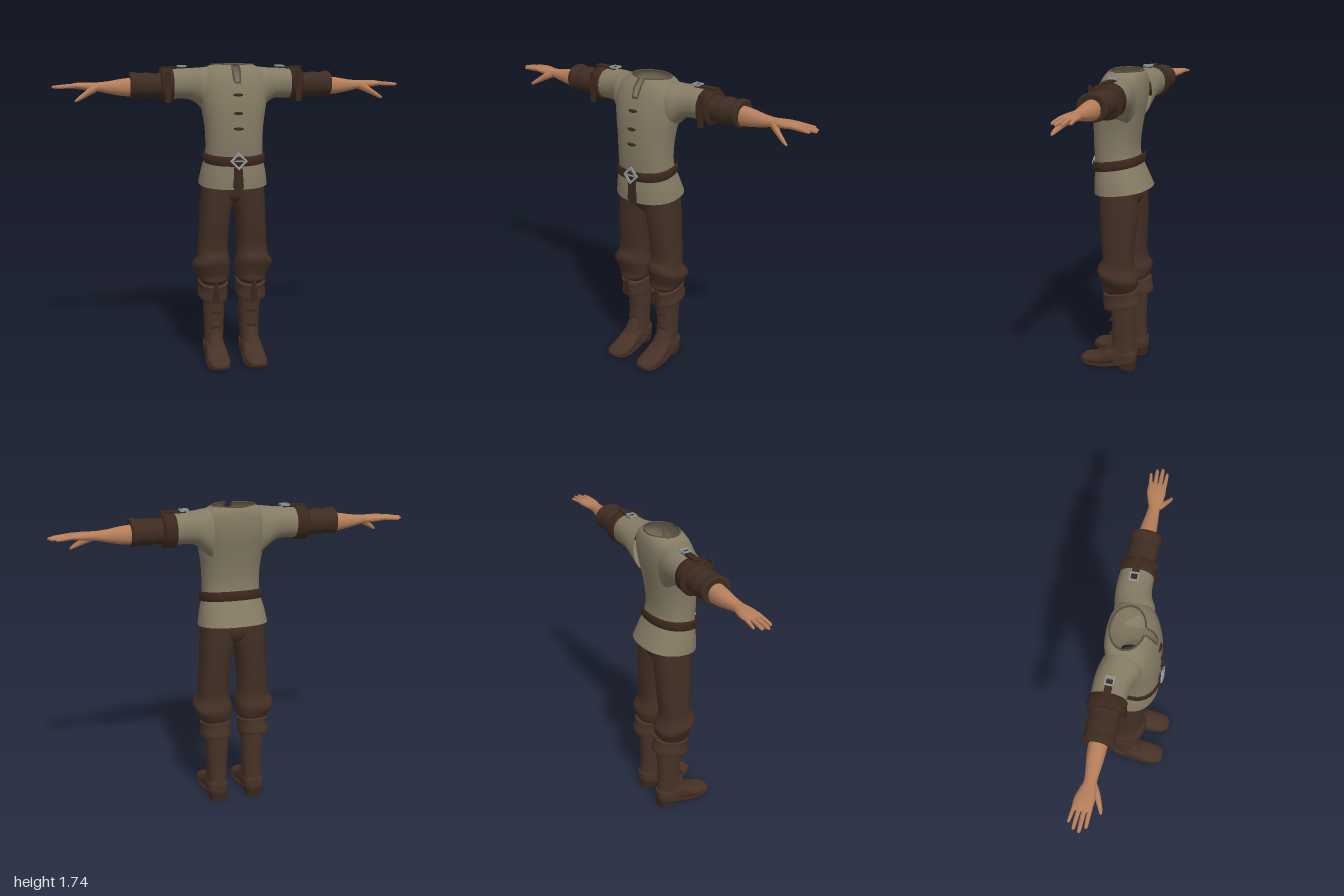
import * as THREE from 'three';
import { toCreasedNormals } from 'three/addons/utils/BufferGeometryUtils.js';

const mat = (name, color, side = THREE.FrontSide) => {
  const m = new THREE.MeshStandardMaterial({ color, side });
  m.name = name;
  return m;
};

// Catmull-Rom blend of neighbouring cross-sections
function refine(rows, steps) {
  const out = [], at = i => rows[Math.min(rows.length - 1, Math.max(0, i))];
  for (let i = 0; i < rows.length - 1; i++)
    for (let k = 0; k < steps; k++) {
      const t = k / steps, [a, b, c, d] = [at(i - 1), at(i), at(i + 1), at(i + 2)];
      out.push(b.map((p, n) => {
        const quad = 2 * a[n] - 5 * p + 4 * c[n] - d[n];
        const cubic = 3 * (p - c[n]) + d[n] - a[n];
        return p + 0.5 * t * (c[n] - a[n] + t * (quad + t * cubic));
      }));
    }
  out.push(at(rows.length - 1));
  return out;
}

// Skin over superellipse sections [s, u0, u1, v0, v1, tilt], s ascending along the axis.
// (u, v) is (x, z) for axis y, (z, y) for axis x and (y, x) for axis z.
const PLACE = { y: (s, u, v) => [u, s, v], x: (s, u, v) => [s, v, u], z: (s, u, v) => [v, u, s] };
function loft(axis, rows, { seg = 28, steps = 3, n = 2.2, cap = true, skip = null } = {}) {
  const rings = refine(rows.map(r => (r.length < 6 ? [...r, 0] : r)), steps), pos = [], idx = [];
  const pw = c => Math.sign(c) * Math.abs(c) ** (2 / n);
  for (const [s, u0, u1, v0, v1, tilt] of rings)
    for (let j = 0; j < seg; j++) {
      const a = j / seg * Math.PI * 2;
      const u = (u0 + u1) / 2 + (u1 - u0) / 2 * pw(Math.cos(a));
      const v = (v0 + v1) / 2 + (v1 - v0) / 2 * pw(Math.sin(a));
      pos.push(...PLACE[axis](s + tilt * v, u, v));
    }
  const last = rings.length - 1;
  for (let i = 0; i < last; i++)
    for (let j = 0; j < seg; j++) {
      const a = i * seg + j, b = i * seg + (j + 1) % seg, c = b + seg, d = a + seg;
      const mid = [0, 1, 2].map(k => (pos[a * 3 + k] + pos[b * 3 + k] + pos[c * 3 + k] + pos[d * 3 + k]) / 4);
      if (!skip || !skip(...mid)) idx.push(a, d, b, b, d, c);
    }
  if (cap) for (const i of [0, last]) {
    const [s, u0, u1, v0, v1, tilt] = rings[i], v = (v0 + v1) / 2, centre = pos.length / 3;
    pos.push(...PLACE[axis](s + tilt * v, (u0 + u1) / 2, v));
    for (let j = 0; j < seg; j++) {
      const a = i * seg + j, b = i * seg + (j + 1) % seg;
      idx.push(centre, ...(i ? [b, a] : [a, b]));
    }
  }
  const g = new THREE.BufferGeometry();
  g.setAttribute('position', new THREE.Float32BufferAttribute(pos, 3));
  g.setIndex(idx);
  return toCreasedNormals(g, 0.95);
}

const tube = (pts, r) => new THREE.TubeGeometry(
  new THREE.CatmullRomCurve3(pts.map(p => new THREE.Vector3(...p))), pts.length * 4, r, 6);

export function createModel() {
  const shirt = mat('shirtCloth', 0x857b64, THREE.DoubleSide);
  const trim = mat('shirtTrim', 0x595140);
  const trousers = mat('trouserCloth', 0x412e23);
  const sleeve = mat('sleeveCloth', 0x3d2c21);
  const boot = mat('bootLeather', 0x473226);
  const belt = mat('beltLeather', 0x3b271d);
  const skin = mat('skin', 0xb57e59);
  const steel = mat('steel', 0x8d989c);

  const model = new THREE.Group();
  model.name = 'clothedFigure';
  const add = (parent, name, geo, m, x = 0, y = 0, z = 0, rx = 0) => {
    const mesh = new THREE.Mesh(geo, m);
    mesh.name = name;
    mesh.position.set(x, y, z);
    mesh.rotation.x = rx;
    parent.add(mesh);
  };
  const box = (w, h, d) => new THREE.BoxGeometry(w, h, d);

  // Tunic body, slit at the collar and below the belt
  add(model, 'tunicBody', loft('y', [
    [1.06, -0.197, 0.197, -0.19, 0.13, -0.12], [1.14, -0.184, 0.184, -0.152, 0.13, -0.16],
    [1.22, -0.165, 0.165, -0.118, 0.125, -0.19], [1.30, -0.162, 0.162, -0.11, 0.132, -0.08],
    [1.40, -0.167, 0.167, -0.118, 0.134, 0], [1.50, -0.183, 0.183, -0.135, 0.13, 0],
    [1.57, -0.193, 0.193, -0.148, 0.12, 0], [1.63, -0.197, 0.197, -0.152, 0.105, 0],
    [1.68, -0.183, 0.183, -0.15, 0.085, 0], [1.715, -0.15, 0.15, -0.142, 0.062, 0],
    [1.732, -0.118, 0.118, -0.13, 0.045, 0],
  ], { seg: 64, n: 2.3, cap: false, skip: (x, y, z) => Math.abs(x) < 0.017 && z > 0 && (y > 1.645 || y < 1.17) }), shirt);

  // Collar piping, open at the front
  const collar = [];
  for (let i = 0; i <= 24; i++) {
    const a = Math.PI / 2 + 0.17 + i / 24 * (Math.PI * 2 - 0.34);
    collar.push([0.118 * Math.cos(a), 1.732, -0.0425 + 0.0875 * Math.sin(a)]);
  }
  add(model, 'collarPiping', tube(collar, 0.005), trim);
  for (const s of [-1, 1])
    add(model, 'collarSlitEdge', tube([[s * 0.019, 1.732, 0.045], [s * 0.02, 1.69, 0.082], [s * 0.015, 1.64, 0.104]], 0.005), trim);
  add(model, 'collarSlitEnd', box(0.035, 0.01, 0.01), trim, 0, 1.638, 0.104);

  // Front toggles
  for (const [y, z] of [[1.57, 0.122], [1.47, 0.133], [1.385, 0.136]]) {
    add(model, 'toggleLoop', box(0.05, 0.01, 0.01), belt, 0, y, z);
    add(model, 'togglePeg', loft('x', [[-0.014, z - 0.004, z + 0.012, y - 0.009, y + 0.009],
      [0.014, z - 0.004, z + 0.012, y - 0.009, y + 0.009]], { seg: 10, steps: 1 }), belt);
  }

  // Belt, hanging tail and diamond buckle
  add(model, 'belt', loft('y', [[1.198, -0.175, 0.175, -0.137, 0.137, -0.16], [1.205, -0.179, 0.179, -0.141, 0.141, -0.16],
    [1.245, -0.177, 0.177, -0.139, 0.141, -0.16], [1.252, -0.172, 0.172, -0.133, 0.136, -0.16]],
  { seg: 48, steps: 1, n: 2.3, cap: false }), belt);
  const tail = new THREE.Shape([[-0.019, 0.09], [0.019, 0.09], [0.03, -0.05], [0, -0.08], [-0.03, -0.05]].map(p => new THREE.Vector2(...p)));
  add(model, 'beltTail', new THREE.ExtrudeGeometry(tail, { depth: 0.009, bevelEnabled: false }), belt, 0, 1.11, 0.13, 0.02);
  const diamond = r => [[r, 0], [0, r], [-r, 0], [0, -r]].map(p => new THREE.Vector2(...p));
  const frame = new THREE.Shape(diamond(0.05));
  frame.holes.push(new THREE.Path(diamond(0.034)));
  add(model, 'beltBuckle', new THREE.ExtrudeGeometry(frame, { depth: 0.009, bevelEnabled: false }), steel, 0, 1.207, 0.141, -0.08);
  add(model, 'bucklePin', box(0.055, 0.007, 0.006), steel, 0, 1.207, 0.147);

  // Seat of the trousers
  add(model, 'trouserSeat', loft('y', [[0.955, -0.05, 0.05, -0.08, 0.03], [0.99, -0.12, 0.12, -0.12, 0.062],
    [1.05, -0.17, 0.17, -0.135, 0.072], [1.16, -0.155, 0.155, -0.11, 0.085]], { n: 2.5 }), trousers);

  for (const [side, s] of [['left', 1], ['right', -1]]) {
    const arm = new THREE.Group(), leg = new THREE.Group();
    arm.name = side + 'Arm';
    leg.name = side + 'Leg';
    arm.scale.x = leg.scale.x = s;
    model.add(arm, leg);

    // Short tunic sleeve, then rolled dark sleeve
    add(arm, 'tunicSleeve', loft('x', [[0.135, -0.143, 0.06, 1.45, 1.722], [0.18, -0.151, 0.06, 1.495, 1.717],
      [0.22, -0.155, 0.038, 1.53, 1.714], [0.27, -0.157, 0.024, 1.543, 1.712], [0.37, -0.155, 0.02, 1.54, 1.705]], { cap: false }), shirt);
    add(arm, 'sleeveBand', loft('x', [[0.335, -0.156, 0.02, 1.538, 1.706], [0.342, -0.164, 0.03, 1.53, 1.713],
      [0.37, -0.164, 0.027, 1.53, 1.713], [0.398, -0.166, 0.03, 1.526, 1.712], [0.408, -0.15, 0.015, 1.545, 1.7]], { steps: 1 }), belt);
    add(arm, 'rolledSleeve', loft('x', [[0.39, -0.145, 0.01, 1.548, 1.692], [0.43, -0.142, 0.008, 1.553, 1.684],
      [0.48, -0.146, 0.013, 1.548, 1.69], [0.52, -0.142, 0.01, 1.554, 1.686], [0.56, -0.15, 0.016, 1.547, 1.694],
      [0.576, -0.144, 0.01, 1.552, 1.688], [0.572, -0.115, -0.02, 1.57, 1.665]]), sleeve);
    add(arm, 'shoulderStrap', box(0.135, 0.012, 0.036), belt, 0.342, 1.716, -0.07);
    add(arm, 'hangingTab', box(0.032, 0.17, 0.01), belt, 0.372, 1.612, 0.024);
    for (const d of [-1, 1]) {
      add(arm, 'strapBuckleBar', box(0.008, 0.01, 0.044), steel, 0.283 + d * 0.02, 1.723, -0.07);
      add(arm, 'strapBuckleEnd', box(0.048, 0.01, 0.007), steel, 0.283, 1.723, -0.07 + d * 0.02);
    }

    // Bare forearm and hand
    add(arm, 'forearmAndPalm', loft('x', [[0.54, -0.115, -0.018, 1.556, 1.664], [0.62, -0.11, -0.022, 1.562, 1.656],
      [0.69, -0.1, -0.027, 1.575, 1.644], [0.75, -0.093, -0.031, 1.588, 1.638], [0.79, -0.104, -0.024, 1.593, 1.638],
      [0.84, -0.118, -0.02, 1.599, 1.638], [0.88, -0.119, -0.024, 1.605, 1.634], [0.9, -0.11, -0.035, 1.611, 1.627]]), skin);
    // [base z, tip z, tip x, radius]
    for (const [z, e, tip, r] of [[-0.034, -0.034, 0.975, 0.011], [-0.059, -0.062, 1, 0.0115],
      [-0.083, -0.091, 0.99, 0.011], [-0.106, -0.12, 0.962, 0.0095]]) {
      const at = (t, k) => {
        const c = z + (e - z) * t, y = 1.621 - 0.008 * t;
        return [0.865 + (tip - 0.865) * t, c - r * k, c + r * k, y - r * k, y + r * k];
      };
      add(arm, 'finger', loft('x', [at(0, 1.1), at(0.4, 1), at(0.8, 0.85), at(0.95, 0.65), at(1, 0.2)], { seg: 10, steps: 2, n: 2 }), skin);
    }
    add(arm, 'thumb', loft('x', [[0.752, -0.068, -0.03, 1.59, 1.63], [0.79, -0.048, -0.008, 1.572, 1.618],
      [0.825, -0.024, 0.006, 1.556, 1.59], [0.857, -0.006, 0.017, 1.54, 1.566], [0.875, 0.004, 0.018, 1.535, 1.55],
      [0.881, 0.01, 0.015, 1.537, 1.543]], { seg: 12, steps: 2, n: 2 }), skin);

    // Baggy trouser leg gathered below the knee
    add(leg, 'trouserLeg', loft('y', [[0.47, 0.05, 0.175, -0.115, 0.03], [0.495, 0.03, 0.195, -0.13, 0.058],
      [0.52, 0.02, 0.205, -0.138, 0.055, 0.1], [0.57, 0.016, 0.23, -0.152, 0.07, 0.15], [0.6, 0.016, 0.235, -0.152, 0.08, 0.15],
      [0.635, 0.025, 0.212, -0.128, 0.074, 0.1], [0.68, 0.03, 0.205, -0.122, 0.052], [0.8, 0.025, 0.196, -0.13, 0.065],
      [0.9, 0.012, 0.191, -0.134, 0.072], [0.97, -0.002, 0.188, -0.136, 0.075], [1.1, -0.01, 0.172, -0.13, 0.075]], { seg: 32, n: 2.4 }), trousers);

    // Boot shaft, turned-down cuff and tongue
    add(leg, 'bootShaft', loft('y', [[0.06, 0.055, 0.165, -0.138, 0.03], [0.11, 0.055, 0.163, -0.138, 0.03],
      [0.16, 0.052, 0.163, -0.132, 0.01], [0.22, 0.05, 0.165, -0.13, 0.002], [0.34, 0.043, 0.17, -0.134, 0.006],
      [0.48, 0.042, 0.175, -0.13, 0.02]], { n: 2.3 }), boot);
    add(leg, 'bootCuff', loft('y', [[0.388, 0.05, 0.175, -0.14, 0.02, -0.2], [0.378, 0.03, 0.198, -0.166, 0.045, -0.2],
      [0.4, 0.026, 0.202, -0.168, 0.048, -0.2], [0.44, 0.03, 0.194, -0.158, 0.046, -0.2], [0.47, 0.026, 0.198, -0.156, 0.052, -0.2],
      [0.476, 0.045, 0.18, -0.135, 0.035, -0.2]], { steps: 2, n: 2.3 }), boot);
    add(leg, 'cuffTongue', loft('y', [[0.375, 0.09, 0.135, 0.04, 0.054], [0.43, 0.095, 0.13, 0.04, 0.057],
      [0.49, 0.102, 0.123, 0.045, 0.062]], { seg: 12, steps: 1, n: 3 }), belt);
    for (const y of [0.21, 0.3, 0.36]) add(leg, 'bootLace', box(0.055, 0.014, 0.014), belt, 0.108, y, 0.005);

    // Foot, instep flap, heel counter, sole and heel
    add(leg, 'bootFoot', loft('z', [[-0.138, 0.045, 0.105, 0.075, 0.145], [-0.12, 0.03, 0.13, 0.06, 0.16], [-0.04, 0.025, 0.15, 0.054, 0.166],
      [0.02, 0.016, 0.125, 0.05, 0.17], [0.07, 0.008, 0.09, 0.046, 0.174], [0.13, 0.007, 0.064, 0.046, 0.173],
      [0.175, 0.01, 0.054, 0.06, 0.163], [0.196, 0.018, 0.04, 0.085, 0.14]], { n: 2.5 }), boot);
    add(leg, 'instepFlap', loft('y', [[0.085, 0.062, 0.156, -0.02, 0.068], [0.13, 0.066, 0.152, -0.02, 0.037],
      [0.17, 0.078, 0.14, -0.02, 0.02], [0.2, 0.095, 0.122, -0.02, 0.01]], { seg: 20, steps: 2 }), boot);
    add(leg, 'heelCounter', loft('y', [[0.03, 0.051, 0.169, -0.143, 0.01, -0.2], [0.08, 0.05, 0.17, -0.145, 0.02, -0.2],
      [0.083, 0.058, 0.162, -0.137, 0.01, -0.2]], { steps: 1, n: 2.6 }), boot);
    add(leg, 'bootSole', loft('z', [[-0.1, 0.022, 0.038, 0.06, 0.16], [-0.03, 0.018, 0.034, 0.053, 0.167], [0.04, 0.003, 0.02, 0.046, 0.174],
      [0.12, 0, 0.018, 0.043, 0.176], [0.175, 0.006, 0.024, 0.058, 0.165], [0.199, 0.016, 0.028, 0.085, 0.14]], { n: 4 }), belt);
    add(leg, 'bootHeel', loft('y', [[0, 0.06, 0.16, -0.138, -0.04], [0.05, 0.056, 0.164, -0.141, -0.032]], { steps: 1, n: 3 }), belt);
  }
  return model;
}
